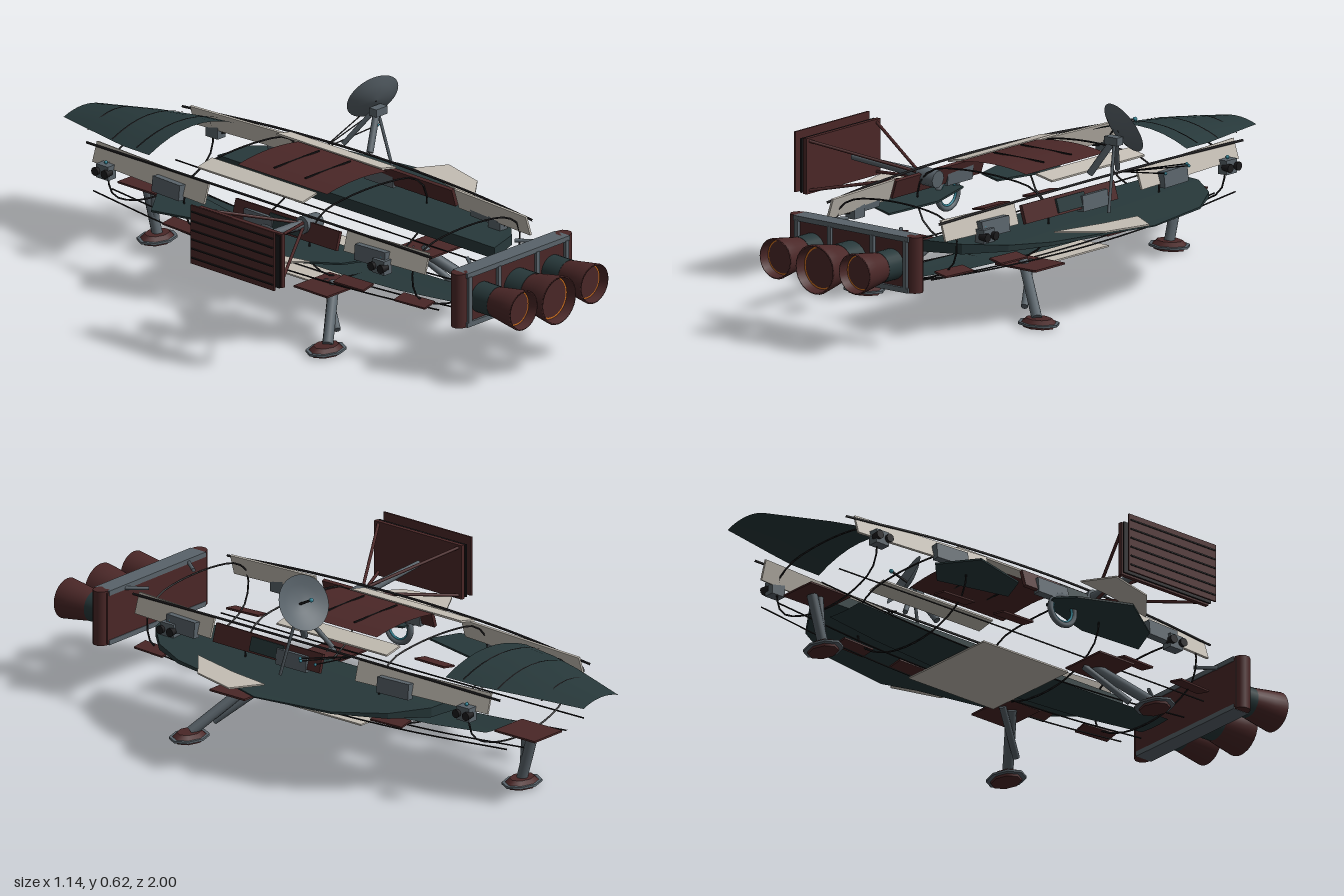
import * as THREE from 'three';

const M = (name, color, double) => {
  const m = new THREE.MeshStandardMaterial({ color });
  m.name = name;
  if (double) m.side = THREE.DoubleSide;
  return m;
};
const V = (x, y, z) => new THREE.Vector3(x, y, z);

export function createModel() {
  const model = new THREE.Group();
  const ship = new THREE.Group();
  ship.name = 'ship';
  ship.position.x = 0.037; // the hull axis sits beside the centre because of the side panel
  model.add(ship);

  const teal = M('darkTeal', 0x27383a, true);
  const brown = M('darkBrown', 0x4a2727, true);
  const white = M('paleGrey', 0xc4beb4, true);
  const slate = M('slate', 0x59636a, true);
  const black = M('nearBlack', 0x1b1a1c);
  const orange = M('orangeGlow', 0xd0701e, true);
  const cyan = M('cyan', 0x35899c);

  const add = (name, geo, mat, x = 0, y = 0, z = 0) => {
    const m = new THREE.Mesh(geo, mat);
    m.name = name;
    m.position.set(x, y, z);
    ship.add(m);
    return m;
  };
  const box = (name, mat, w, h, d, x, y, z) => add(name, new THREE.BoxGeometry(w, h, d), mat, x, y, z);
  const rod = (name, mat, a, b, r, r2 = r, n = 10) => {
    const m = add(name, new THREE.CylinderGeometry(r2, r, a.distanceTo(b), n), mat);
    m.position.copy(a).lerp(b, 0.5);
    m.quaternion.setFromUnitVectors(V(0, 1, 0), b.clone().sub(a).normalize());
    return m;
  };
  const tube = (name, mat, pts, r, closed = false) =>
    add(name, new THREE.TubeGeometry(new THREE.CatmullRomCurve3(pts, closed), 32, r, 5, closed), mat);

  // Arched sheet through stations [z, halfWidth, centreY, edgeY]
  const sheet = (name, mat, stations) => {
    const n = 8, pos = [], idx = [];
    stations.forEach(([z, w, yc, ye], i) => {
      for (let j = 0; j <= n; j++) {
        const u = (j / n) * 2 - 1;
        pos.push(u * w, yc + (ye - yc) * u * u, z);
        if (i && j) {
          const a = i * (n + 1) + j, b = a - n - 1;
          idx.push(a, a - 1, b, b, a - 1, b - 1);
        }
      }
    });
    const g = new THREE.BufferGeometry();
    g.setAttribute('position', new THREE.Float32BufferAttribute(pos, 3));
    g.setIndex(idx);
    // stations run towards -z, which leaves the outer face upwards
    g.computeVertexNormals();
    return add(name, g, mat);
  };

  // Horizontal plate from an [x, z] outline, thinned towards tipX when given
  const plate = (name, mat, pts, y, t, tipX) => {
    const s = new THREE.Shape(pts.map(([x, z]) => new THREE.Vector2(x, -z)));
    const g = new THREE.ExtrudeGeometry(s, { depth: t, bevelEnabled: false });
    g.translate(0, 0, -t / 2).rotateX(-Math.PI / 2);
    if (tipX) {
      const p = g.attributes.position;
      for (let i = 0; i < p.count; i++)
        p.setY(i, p.getY(i) * THREE.MathUtils.clamp((tipX - p.getX(i)) / 0.3, 0.1, 1));
      g.computeVertexNormals();
    }
    return add(name, g, mat, 0, y, 0);
  };

  // Engine block with its frame
  box('engineBlock', brown, 0.47, 0.165, 0.05, 0, 0.262, 0.797);
  for (const y of [0.342, 0.182]) box('engineFrameRail', slate, 0.455, 0.016, 0.06, 0, y, 0.8);
  for (const x of [-0.215, -0.085, 0.085, 0.215]) box('engineFramePost', slate, 0.014, 0.15, 0.012, x, 0.262, 0.826);
  for (const x of [-0.232, 0.232]) rod('engineFrameEnd', brown, V(x, 0.175, 0.8), V(x, 0.35, 0.8), 0.026);

  // Engines: neck, flared bell, dark throat and glowing ring
  for (const [x, y, r] of [[-0.157, 0.255, 0.064], [0, 0.245, 0.078], [0.158, 0.255, 0.064]]) {
    rod('engineNeck', teal, V(x, y, 0.82), V(x, y, 0.89), r * 0.76, r * 0.76, 24);
    const prof = [[0.72, 0], [0.78, 0.02], [0.9, 0.07], [1, 0.115], [0.92, 0.118], [0.86, 0.08]];
    const bell = add('engineBell', new THREE.LatheGeometry(prof.map(([k, h]) => new THREE.Vector2(k * r, h)), 28), brown, x, y, 0.882);
    bell.rotation.x = Math.PI / 2;
    add('engineThroat', new THREE.CircleGeometry(r * 0.88, 28), brown, x, y, 0.965);
    add('engineGlow', new THREE.RingGeometry(r * 0.8, r * 0.87, 32), orange, x, y, 0.968);
  }

  // Nose shell, roof panel and keel strip
  sheet('noseShell', teal, [[-0.54, 0.19, 0.412, 0.37], [-0.66, 0.178, 0.405, 0.365], [-0.78, 0.148, 0.394, 0.36], [-0.9, 0.112, 0.376, 0.352], [-1, 0.082, 0.36, 0.345]]);
  for (const [z, w, y] of [[-0.6, 0.18, 0.41], [-0.72, 0.16, 0.401], [-0.86, 0.12, 0.384]])
    sheet('noseSeam', black, [[z, w, y, y - 0.035], [z - 0.006, w, y, y - 0.035]]);
  sheet('roofPanel', brown, [[0.155, 0.135, 0.42, 0.408], [-0.22, 0.135, 0.42, 0.408]]);
  for (const z of [0.03, -0.1]) box('roofSeam', black, 0.2, 0.004, 0.005, 0, 0.419, z);
  sheet('keelStrip', teal, [[0.65, 0.062, 0.156, 0.16], [0.4, 0.08, 0.14, 0.144], [0.15, 0.088, 0.134, 0.138], [-0.15, 0.088, 0.134, 0.138], [-0.4, 0.08, 0.148, 0.152], [-0.6, 0.07, 0.166, 0.17]]);
  box('bellyPlate', white, 0.35, 0.005, 0.34, 0, 0.127, -0.02);

  // Hull frame: hoops and lengthwise stringers
  const hull = z => 0.265 - 0.07 * z * z;
  for (const z of [0.61, 0.2, -0.33, -0.67]) {
    const k = hull(z) / 0.27, drop = z * z * 0.05;
    const half = [[0.1, 0.4 - drop], [0.21, 0.38 - drop], [0.265, 0.32], [0.25, 0.22], [0.11, 0.142 + drop]];
    const loop = [...half, ...half.slice().reverse().map(([x, y]) => [-x, y])];
    tube('hullHoop', black, loop.map(([x, y]) => V(x * k, y, z)), 0.003, true);
  }
  const zs = [0.68, 0.4, 0, -0.4, -0.78];
  for (const s of [-1, 1]) {
    tube('upperStringer', black, zs.map(z => V(s * (hull(z) - 0.01), 0.38 - 0.04 * z * z, z)), 0.004);
    tube('lowerStringer', black, zs.map(z => V(s * (hull(z) - 0.04), 0.165 + 0.04 * z * z, z)), 0.0025);
    tube('keelStringer', black, zs.map(z => V(s * 0.1, 0.13 + 0.07 * z * z, z)), 0.0025);

    // Side panels and equipment boxes following the hull line
    const side = (name, mat, z0, z1, y, h, t, out, tilt = 0.3) => {
      const x0 = hull(z0) + out, x1 = hull(z1) + out;
      const m = box(name, mat, t, h, Math.hypot(z0 - z1, x0 - x1), (s * (x0 + x1)) / 2, y, (z0 + z1) / 2);
      m.rotation.set(0, s * Math.atan2(x0 - x1, z0 - z1), s * tilt, 'YXZ');
    };
    side('sidePanelRear', white, 0.66, 0.34, 0.338, 0.068, 0.007, -0.01);
    side('sidePanelMiddle', brown, 0.32, -0.11, 0.332, 0.06, 0.012, 0);
    side('sidePanelFront', white, -0.24, -0.74, 0.338, 0.066, 0.007, -0.01);
    side('darkInset', teal, 0.17, 0.04, 0.332, 0.045, 0.016, 0.002);
    for (const z of [0.455, 0, -0.395]) side('equipmentBox', slate, z + 0.06, z - 0.06, 0.32, 0.05, 0.024, 0.004, 0.1);
    for (const z of [0.6, 0.36, -0.13, -0.36]) side('lowerPanel', brown, z + 0.06, z - 0.06, 0.2, 0.05, 0.006, -0.02, 1.4);

    // Pale roof strips
    const strip = box('roofStrip', white, 0.065, 0.006, 0.44, s * 0.175, 0.398, -0.1);
    strip.rotation.z = -s * 0.2;

    // Thruster pods
    for (const z of [0.5, -0.67]) {
      const x = s * (hull(z) + 0.01);
      box('thrusterPod', slate, 0.035, 0.045, 0.05, x, 0.3, z);
      for (const d of [-0.02, 0.02]) rod('thrusterNozzle', black, V(x, 0.3, z + d), V(x + s * 0.03, 0.3, z + d), 0.01, 0.014);
      add('podLight', new THREE.SphereGeometry(0.006, 8, 6), cyan, x, 0.328, z);
    }
    rod('engineStrut', slate, V(s * 0.155, 0.338, 0.78), V(s * 0.105, 0.338, 0.715), 0.006);

    // Pale wing tip
    plate('wingTip', white, [[0.43, -0.02], [0.528, 0.04], [0.485, 0.2], [0.365, 0.3], [0.41, 0.12]].map(([x, z]) => [s * x, z]), 0.29, 0.005);
  }

  // Whole wing on the left, remaining fragments on the right
  plate('wing', teal, [[0.115, 0.62], [0.235, 0.58], [0.335, 0.48], [0.4, 0.35], [0.455, 0.08], [0.49, -0.03], [0.445, -0.3], [0.355, -0.45], [0.245, -0.53], [0.115, -0.54]], 0.268, 0.036, 0.5);
  plate('wingFragmentFront', teal, [[-0.367, -0.365], [-0.25, -0.45], [-0.165, -0.37], [-0.22, -0.13], [-0.315, -0.17]], 0.282, 0.006);
  plate('wingFragmentRear', teal, [[-0.352, 0.035], [-0.3, -0.015], [-0.245, 0], [-0.18, 0.2], [-0.19, 0.42], [-0.3, 0.37], [-0.42, 0.2]], 0.282, 0.006);

  // Landing gear
  const foot = (x, z) => {
    const base = add('footBase', new THREE.CylinderGeometry(0.072, 0.072, 0.007, 8), slate, x, 0.012, z);
    const pad = add('footPad', new THREE.CylinderGeometry(0.045, 0.065, 0.016, 8), brown, x, 0.02, z);
    const sole = add('footSole', new THREE.CylinderGeometry(0.055, 0.055, 0.009, 8), brown, x, 0.0045, z);
    for (const m of [base, pad, sole]) m.scale.z = 0.75;
  };
  for (const s of [-1, 1]) {
    foot(s * 0.347, 0.35);
    rod('rearLeg', slate, V(s * 0.34, 0.025, 0.35), V(s * 0.195, 0.16, 0.24), 0.017);
    rod('rearLegBrace', slate, V(s * 0.265, 0.045, 0.32), V(s * 0.19, 0.155, 0.2), 0.011);
    box('rearLegHatch', brown, 0.16, 0.006, 0.14, s * 0.22, 0.158, 0.24);
  }
  foot(0, -0.685);
  rod('frontLeg', slate, V(0, 0.025, -0.685), V(0, 0.18, -0.73), 0.017);
  rod('frontLegBrace', slate, V(0, 0.05, -0.69), V(0, 0.18, -0.7), 0.012);
  box('frontLegHatch', brown, 0.13, 0.006, 0.16, 0, 0.182, -0.71);

  // Side panel array on its boom
  for (const [x, t, y, h, mat] of [[-0.602, 0.006, 0.375, 0.19, brown], [-0.578, 0.006, 0.367, 0.17, black], [-0.562, 0.014, 0.367, 0.175, brown]])
    box('arrayPanel', mat, t, h, 0.35, x, y, 0.2);
  for (let i = 0; i < 6; i++) box('arrayRib', black, 0.004, 0.004, 0.34, -0.607, 0.3 + i * 0.03, 0.2);
  rod('arrayBoom', slate, V(-0.535, 0.366, 0.18), V(-0.25, 0.35, 0.17), 0.01, 0.016);
  for (const y of [0.29, 0.445]) for (const z of [0.04, 0.36])
    rod('arrayStrut', brown, V(-0.557, y, z), V(-0.27, 0.35 + (y - 0.366) * 0.1, 0.18), 0.005);
  rod('boomMount', slate, V(-0.27, 0.35, 0.175), V(-0.2, 0.345, 0.175), 0.028);

  // Docking ring on the right side
  const ring = new THREE.Group();
  ring.name = 'dockingRing';
  ring.position.set(-0.275, 0.265, 0.04);
  ring.rotation.y = Math.PI / 2;
  ring.add(new THREE.Mesh(new THREE.TorusGeometry(0.048, 0.009, 8, 28), slate), new THREE.Mesh(new THREE.TorusGeometry(0.038, 0.004, 8, 28), cyan));
  ship.add(ring);

  // Dish antenna on its tripod
  const axis = V(0.25, 0.45, -0.85).normalize(), hub = V(0.315, 0.53, -0.065);
  const bowl = [0, 0.03, 0.06, 0.088].map(r => new THREE.Vector2(r, r * r * 3));
  const dish = add('dish', new THREE.LatheGeometry(bowl, 32), slate);
  dish.position.copy(hub);
  dish.quaternion.setFromUnitVectors(V(0, 1, 0), axis);
  rod('dishFeed', black, hub, hub.clone().addScaledVector(axis, 0.07), 0.004);
  add('dishFeedTip', new THREE.SphereGeometry(0.007, 10, 8), cyan).position.copy(hub).addScaledVector(axis, 0.07);
  box('dishMount', slate, 0.05, 0.025, 0.03, 0.31, 0.505, -0.05);
  rod('dishLeg', slate, V(0.24, 0.395, -0.02), V(0.31, 0.51, -0.055), 0.011);
  rod('dishLeg', slate, V(0.25, 0.39, -0.14), V(0.31, 0.51, -0.06), 0.008);
  rod('dishLeg', slate, V(0.332, 0.29, 0.0), V(0.31, 0.51, -0.055), 0.005);

  // Whip antennas with cyan tips
  for (const [x, y, z] of [[0.475, 0.43, -0.2], [0.45, 0.412, -0.24], [0.425, 0.398, -0.16]]) {
    rod('whipAntenna', black, V(0.22, 0.365, -0.2), V(x, y, z), 0.002);
    add('whipTip', new THREE.SphereGeometry(0.005, 8, 6), cyan, x, y, z);
  }
  return model;
}
